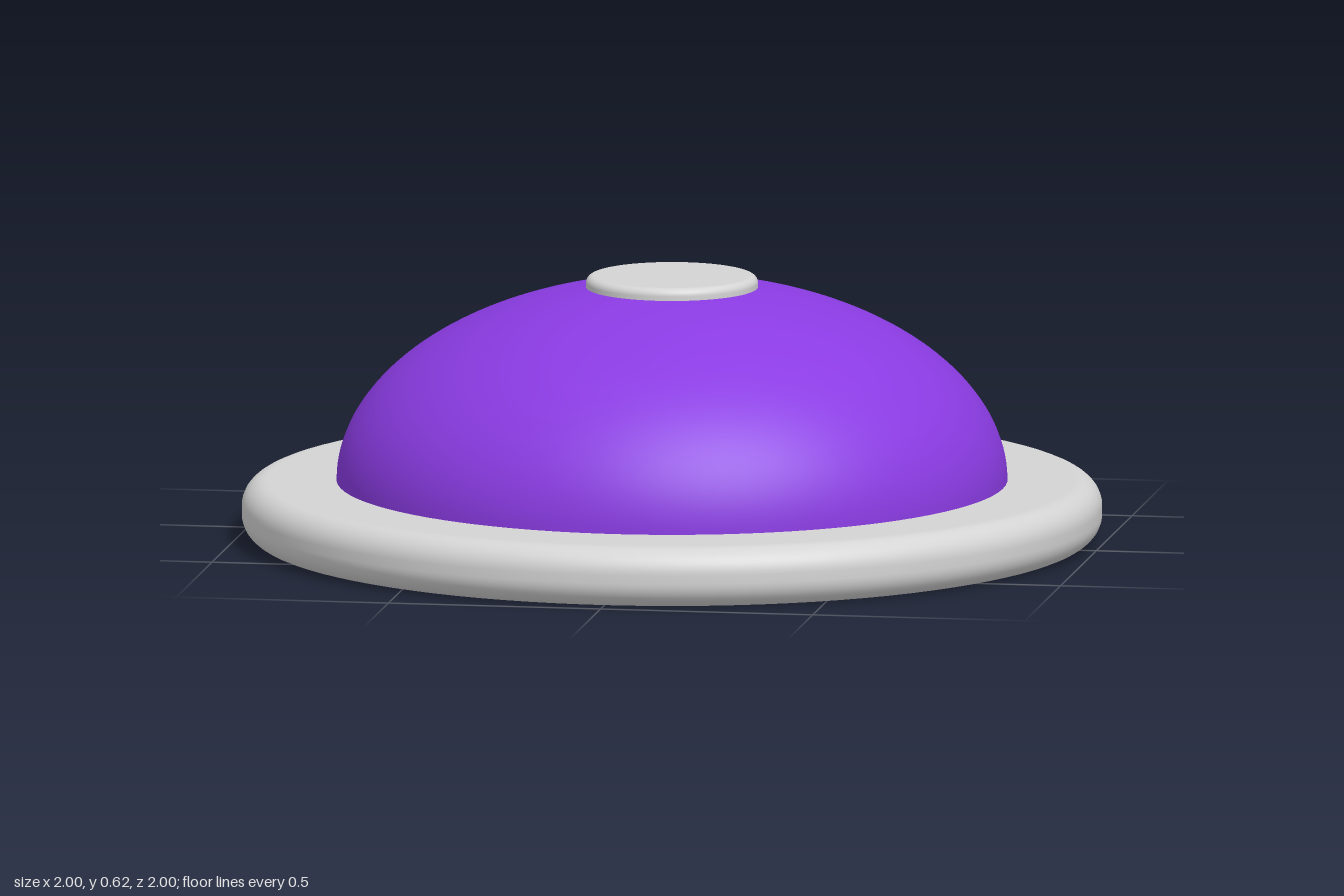
import * as THREE from 'three';

const SEGMENTS = 96;

// Closed disc with rounded upper and lower rims
function roundedDisc(radius, bottom, top, lowerRound, upperRound) {
  const points = [new THREE.Vector2(0, bottom), new THREE.Vector2(radius - lowerRound - 0.005, bottom)];
  const addCorner = (cy, r, start) => {
    for (let i = 0; i <= 10; i++) {
      const a = start + (i / 10) * Math.PI / 2;
      points.push(new THREE.Vector2(radius - r + r * Math.cos(a), cy + r * Math.sin(a)));
    }
  };
  addCorner(bottom + lowerRound, lowerRound, -Math.PI / 2);
  addCorner(top - upperRound, upperRound, 0);
  points.push(new THREE.Vector2(radius - upperRound - 0.005, top), new THREE.Vector2(0, top));
  return new THREE.LatheGeometry(points, SEGMENTS);
}

// Half ellipsoid standing on the base
function domeGeometry(radius, height, bottom) {
  const points = [];
  for (let i = 0; i <= 40; i++) {
    const a = (i / 40) * Math.PI / 2;
    points.push(new THREE.Vector2(i === 40 ? 0 : radius * Math.cos(a), bottom + height * Math.sin(a)));
  }
  return new THREE.LatheGeometry(points, SEGMENTS);
}

export function createModel() {
  const group = new THREE.Group();
  group.name = 'domeButton';

  const grey = new THREE.MeshStandardMaterial({ color: 0xd4d4d4 });
  grey.name = 'light grey';
  const purple = new THREE.MeshStandardMaterial({ color: 0x8a3be2 });
  purple.name = 'purple';

  const add = (name, geometry, material) => {
    const mesh = new THREE.Mesh(geometry, material);
    mesh.name = name;
    group.add(mesh);
  };

  add('base', roundedDisc(1, 0, 0.14, 0.06, 0.06), grey);
  add('dome', domeGeometry(0.78, 0.472, 0.138), purple);
  add('topCap', roundedDisc(0.2, 0.58, 0.622, 0.01, 0.018), grey);

  return group;
}
